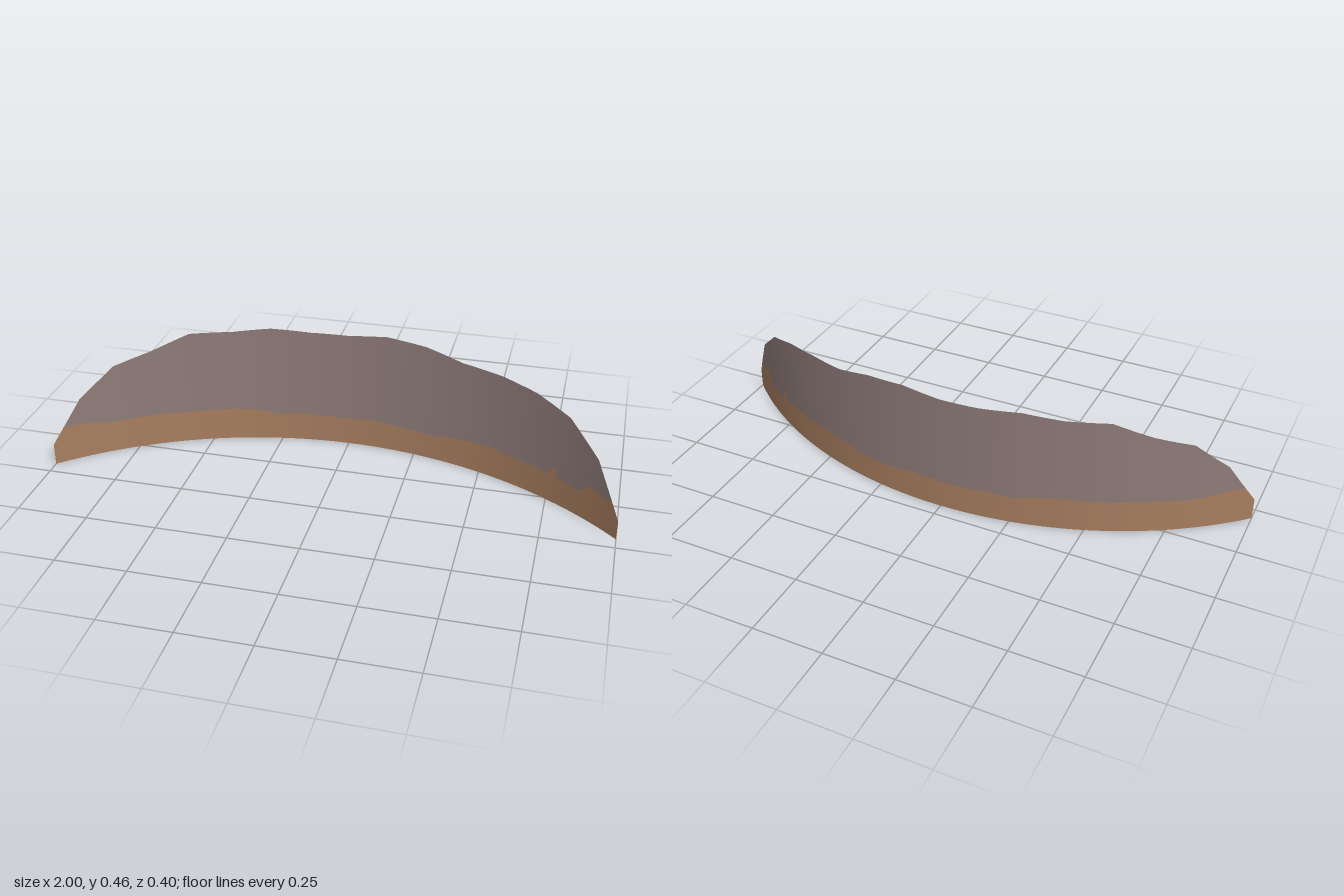
import * as THREE from 'three';

// Thin upright arc: a circle of radius R seen from above
const R = 1.45, CENTRE_Z = 1.25, STEPS = 6;

// Ragged top edge as [x, y]
const TOP = [
  [-1, 0.08], [-0.915, 0.24], [-0.81, 0.345], [-0.69, 0.385], [-0.565, 0.44], [-0.42, 0.44],
  [-0.285, 0.453], [-0.14, 0.443], [0, 0.443], [0.14, 0.457], [0.285, 0.445], [0.42, 0.415],
  [0.565, 0.408], [0.69, 0.39], [0.81, 0.35], [0.915, 0.25], [1, 0.07],
];

// Uneven border between the earth band and the rock, as [x, y]
const BORDER = [
  [-1, 0.14], [-0.93, 0.14], [-0.82, 0.12], [-0.7, 0.125], [-0.6, 0.12], [-0.42, 0.125],
  [-0.3, 0.115], [-0.26, 0.1], [-0.2, 0.11], [-0.1, 0.105], [0, 0.105], [0.1, 0.11],
  [0.2, 0.1], [0.32, 0.095], [0.4, 0.11], [0.53, 0.118], [0.62, 0.108], [0.7, 0.11],
  [0.75, 0.105], [0.77, 0.14], [0.79, 0.1], [0.87, 0.095], [0.89, 0.14], [0.95, 0.125], [1, 0.13],
];

// Height of a polyline at x
function heightAt(line, x) {
  let i = 1;
  while (i < line.length - 1 && line[i][0] < x) i++;
  const [x0, y0] = line[i - 1], [x1, y1] = line[i];
  return THREE.MathUtils.lerp(y0, y1, (x - x0) / (x1 - x0));
}

// Column positions: every top corner plus even steps between
function columns() {
  const xs = [TOP[0][0]];
  for (let i = 1; i < TOP.length; i++) {
    for (let s = 1; s <= STEPS; s++) xs.push(THREE.MathUtils.lerp(TOP[i - 1][0], TOP[i][0], s / STEPS));
  }
  return xs;
}

// Curved strip between two height functions
function strip(name, low, high, material) {
  const pos = [], nor = [], idx = [];
  columns().forEach((x, i) => {
    const z = CENTRE_Z - Math.sqrt(R * R - x * x);
    for (const y of [low(x), high(x)]) {
      pos.push(x, y, z);
      nor.push(-x / R, 0, (CENTRE_Z - z) / R);
    }
    if (i > 0) {
      const a = 2 * (i - 1);
      idx.push(a, a + 2, a + 3, a, a + 3, a + 1);
    }
  });
  const geo = new THREE.BufferGeometry();
  geo.setAttribute('position', new THREE.Float32BufferAttribute(pos, 3));
  geo.setAttribute('normal', new THREE.Float32BufferAttribute(nor, 3));
  geo.setIndex(idx);
  const mesh = new THREE.Mesh(geo, material);
  mesh.name = name;
  return mesh;
}

export function createModel() {
  const rock = new THREE.MeshStandardMaterial({ name: 'mauveRock', color: 0x8f7c79, side: THREE.DoubleSide });
  const earth = new THREE.MeshStandardMaterial({ name: 'brownEarth', color: 0xa87e5f, side: THREE.DoubleSide });

  const top = (x) => heightAt(TOP, x);
  const border = (x) => Math.min(heightAt(BORDER, x), top(x));

  const group = new THREE.Group();
  group.name = 'curvedRidge';
  group.add(strip('earthBand', () => 0, border, earth));
  group.add(strip('rockFace', border, top, rock));
  return group;
}
